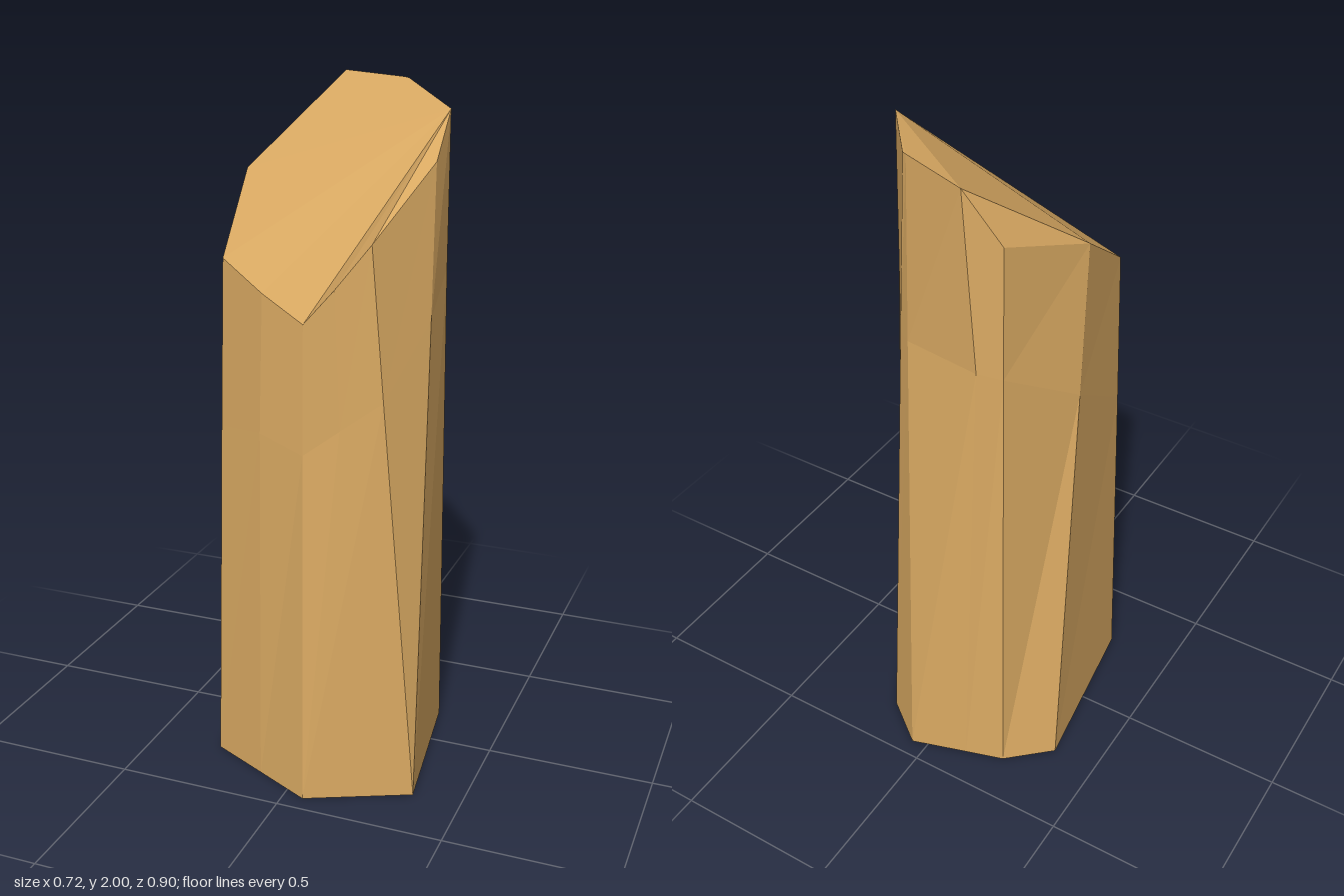
import * as THREE from 'three';

// Edge lines of the pillar, each as [foot, middle, rim] points.
const columns = [
  [[0.355, 0, 0.315], [0.333, 1.4, 0.165], [0.325, 1.82, 0.12]],
  [[0.355, 0, 0.315], [0.255, 1.2, 0.327], [0.22, 1.63, 0.33]],
  [[0.06, 0, 0.45], [0.145, 1.12, 0.37], [0.13, 1.51, 0.37]],
  [[0.06, 0, 0.45], [0.04, 1.04, 0.38], [0.035, 1.405, 0.357]],
  [[-0.11, 0, 0.366], [-0.11, 1.07, 0.328], [-0.1, 1.47, 0.32]],
  [[-0.285, 0, 0.28], [-0.262, 1.05, 0.256], [-0.25, 1.54, 0.245]],
  [[-0.36, 0, -0.245], [-0.316, 1.3, -0.092], [-0.3, 1.745, -0.04]],
  [[-0.235, 0, -0.36], [-0.211, 1.45, -0.321], [-0.205, 1.84, -0.31]],
  [[-0.12, 0, -0.396], [-0.15, 1.47, -0.357], [-0.115, 2, -0.36]],
  [[0.05, 0, -0.45], [0.085, 1.47, -0.325], [0.1, 1.995, -0.276]],
  [[0.185, 0, -0.345], [0.132, 1.47, -0.29], [0.115, 1.993, -0.268]],
  [[0.285, 0, -0.165], [0.315, 1.5, -0.03], [0.325, 1.945, 0]],
];

function pillarGeometry() {
  const n = columns.length;
  const positions = [];
  const same = (a, b) => a.every((v, i) => v === b[i]);
  const tri = (a, b, c) => {
    if (!same(a, b) && !same(b, c) && !same(c, a)) positions.push(...a, ...b, ...c);
  };

  // Side facets between neighbouring edge lines
  for (let i = 0; i < n; i++) {
    const p = columns[i], q = columns[(i + 1) % n];
    for (let k = 0; k < 2; k++) {
      tri(p[k], p[k + 1], q[k]);
      tri(q[k], p[k + 1], q[k + 1]);
    }
  }

  // Flat foot
  for (let i = 1; i < n - 1; i++) tri(columns[0][0], columns[i][0], columns[i + 1][0]);

  // Sloping cut on top, with one corner chamfered off
  const chamfer = 7;
  const rim = columns.map((c) => c[2]);
  tri(rim[chamfer + 1], rim[chamfer], rim[chamfer - 1]);
  const cut = rim.filter((_, i) => i !== chamfer);
  const apex = cut[cut.length - 1];
  for (let i = 0; i < cut.length - 2; i++) tri(apex, cut[i + 1], cut[i]);

  const geometry = new THREE.BufferGeometry();
  geometry.setAttribute('position', new THREE.Float32BufferAttribute(positions, 3));
  geometry.computeVertexNormals();
  return geometry;
}

export function createModel() {
  const group = new THREE.Group();
  group.name = 'stonePillar';
  const stone = new THREE.MeshStandardMaterial({ color: 0xd9a962, flatShading: true });
  const pillar = new THREE.Mesh(pillarGeometry(), stone);
  pillar.name = 'pillar';
  group.add(pillar);
  return group;
}
